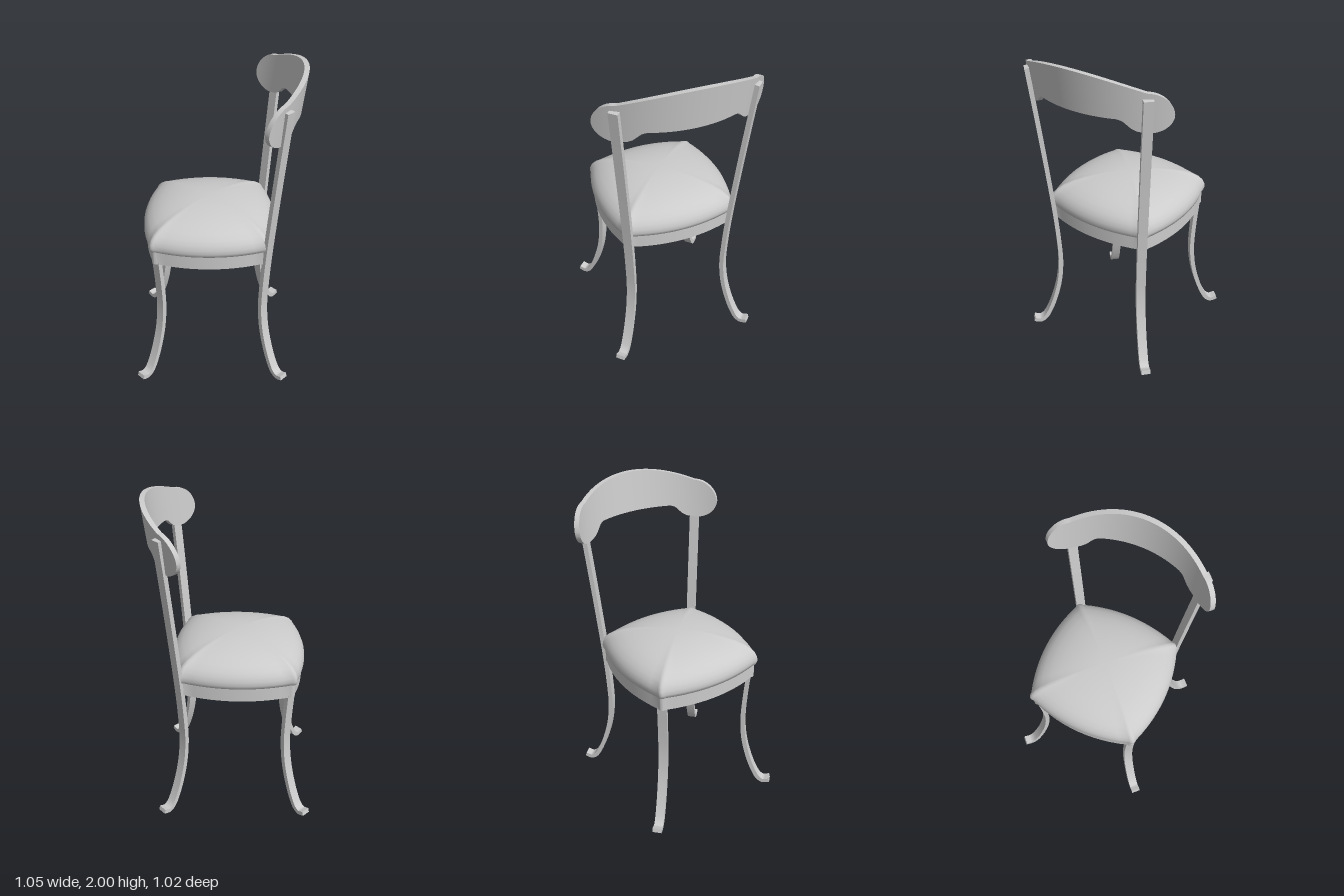
import * as THREE from 'three';
import { toCreasedNormals } from 'three/addons/utils/BufferGeometryUtils.js';

const V = (x, y, z) => new THREE.Vector3(x, y, z);
const material = new THREE.MeshStandardMaterial({ color: 0xcccccc });

// Skin a list of equal-length rings (counter-clockwise about the direction of travel), capped at both ends
function loft(name, rings, crease = 0.6) {
  const n = rings[0].length, last = (rings.length - 1) * n, index = [];
  for (let i = 0; i < rings.length - 1; i++) {
    for (let j = 0; j < n; j++) {
      const a = i * n + j, b = i * n + (j + 1) % n;
      index.push(a, b, a + n, b, b + n, a + n);
    }
  }
  for (let j = 1; j < n - 1; j++) {
    index.push(0, j + 1, j, last, last + j, last + j + 1);
  }
  const geometry = new THREE.BufferGeometry().setFromPoints(rings.flat());
  geometry.setIndex(index);
  const mesh = new THREE.Mesh(toCreasedNormals(geometry, crease), material);
  mesh.name = name;
  return mesh;
}

// Flat bar bent in a vertical diagonal plane; path holds [outward offset, height]
function leg(name, x, z, path, steps) {
  const d = V(Math.sign(x), 0, Math.sign(z)).normalize(), up = V(0, 1, 0);
  const w = d.clone().cross(up);
  const curve = new THREE.CatmullRomCurve3(
    path.map(([s, y]) => V(x, 0, z).addScaledVector(d, s * Math.SQRT2).addScaledVector(up, y)));
  const rings = [];
  for (let i = 0; i <= steps; i++) {
    const p = curve.getPoint(i / steps);
    const side = w.clone().cross(curve.getTangent(i / steps)).normalize();
    rings.push([[-1, -1], [1, -1], [1, 1], [-1, 1]].map(([a, b]) =>
      p.clone().addScaledVector(side, a * 0.014).addScaledVector(w, b * 0.029)));
  }
  return loft(name, rings, 0.5);
}

// Seat outline with bowed sides and rounded corners, as offsets from the seat centre
function seatOutline() {
  const c = 0.365, r = 0.035, bow = 0.477, shape = new THREE.Shape();
  const turn = (u, v, k) => [[u, v], [-v, u], [-u, -v], [v, -u]][k];
  shape.moveTo(c, -c + r);
  for (let k = 0; k < 4; k++) {
    shape.quadraticCurveTo(...turn(bow, 0, k), ...turn(c, c - r, k));
    shape.quadraticCurveTo(...turn(c + 0.005, c + 0.005, k), ...turn(c - r, c, k));
  }
  const points = shape.getPoints(12);
  points.pop();
  return points;
}

// Outline scaled to a height; soft blends it toward an ellipse
function seatRing(outline, scale, y, soft = 0) {
  return outline.map((p) => {
    const k = scale * (1 + soft * (0.42 / p.length() - 1));
    return V(-0.053 + p.y * k * 0.994, y, p.x * k);
  });
}

// Lower edge of the backrest between its middle and the end lobes
const lowerEdge = [[0, 1.755], [0.25, 1.755], [0.275, 1.747], [0.295, 1.727],
  [0.315, 1.704], [0.345, 1.686], [0.4, 1.678]];

function backrestEdges(z) {
  const arc = (t) => 2 - 0.975 + Math.sqrt(0.975 ** 2 - t * t);
  if (z > 0.4) {
    const k = Math.sqrt(Math.max(0, 1 - ((z - 0.4) / 0.1) ** 2));
    return [1.785 - 0.107 * k, 1.785 + (arc(0.4) - 1.785) * k];
  }
  const i = Math.max(1, lowerEdge.findIndex((p) => p[0] >= z));
  const [z0, y0] = lowerEdge[i - 1], [z1, y1] = lowerEdge[i];
  return [y0 + (y1 - y0) * (z - z0) / (z1 - z0), arc(z)];
}

// Curved, slightly reclined panel
function backrest() {
  const R = 0.68, rings = [], steps = 96;
  for (let i = 0; i <= steps; i++) {
    const z = 0.5 * Math.sin((i / steps - 0.5) * Math.PI);
    const angle = Math.asin(z / R);
    const [low, high] = backrestEdges(Math.min(0.5, Math.abs(z)));
    const corner = (r, y) => V(0.48 - R + r * Math.cos(angle) + 0.122 * (y - 1.8), y, r * Math.sin(angle));
    rings.push([corner(R - 0.015, low), corner(R + 0.015, low), corner(R + 0.015, high), corner(R - 0.015, high)]);
  }
  return loft('backrest', rings);
}

export function createModel() {
  const chair = new THREE.Group();
  chair.name = 'chair';

  // Seat frame and padded cushion
  const outline = seatOutline();
  chair.add(loft('seatFrame', [seatRing(outline, 0.965, 0.85), seatRing(outline, 0.965, 0.945)]));
  const profile = [[0.95, 0.935], [0.985, 0.942], [1, 0.965], [0.995, 0.99], [0.97, 1.018], [0.925, 1.043],
    [0.85, 1.069], [0.735, 1.093], [0.6, 1.112], [0.45, 1.126], [0.3, 1.136], [0.15, 1.141], [0.01, 1.143]];
  chair.add(loft('cushion', profile.map(([s, y]) =>
    seatRing(outline, s, y, y < 0.99 ? 0 : 0.6 * (1 - s))), 0.9));

  // Sabre legs; the back pair runs on up as posts for the backrest
  const foot = [[0.145, 0.027], [0.115, 0.016], [0.092, 0.035], [0.07, 0.085], [0.04, 0.19],
    [0.012, 0.34], [0, 0.5], [0.004, 0.68]];
  for (const side of [1, -1]) {
    const label = side > 0 ? 'Left' : 'Right';
    chair.add(leg('frontLeg' + label, -0.36, 0.312 * side, [...foot, [0.014, 0.86]], 40));
    chair.add(leg('backLeg' + label, 0.286, 0.322 * side,
      [...foot, [0.016, 0.9], [0.038, 1.2], [0.066, 1.55], [0.094, 1.88]], 56));
  }

  chair.add(backrest());
  return chair;
}
